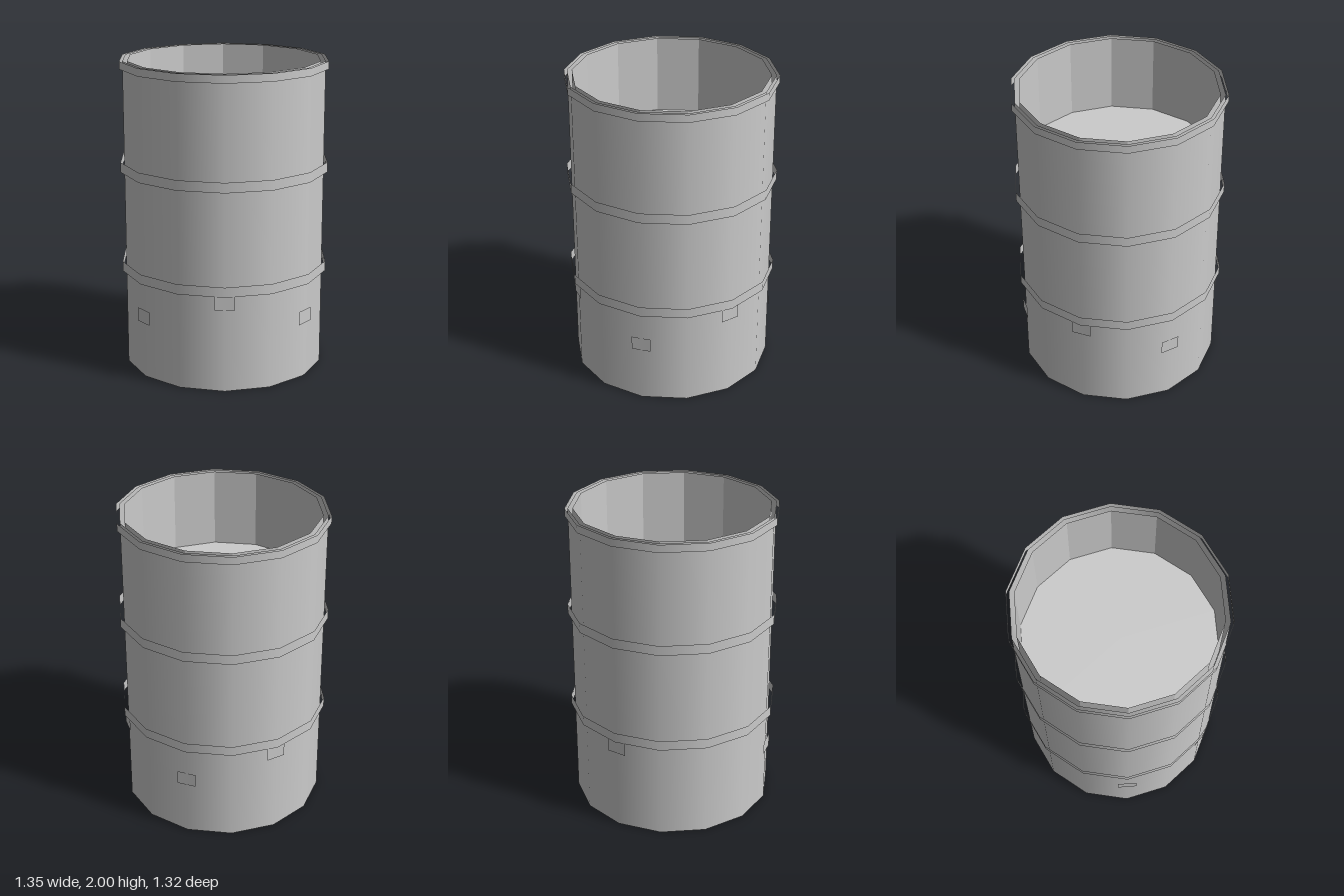
import * as THREE from 'three';

const SIDES = 14;
const STEP = (Math.PI * 2) / SIDES;

export function createModel() {
  const barrel = new THREE.Group();
  barrel.name = 'barrel';

  const smooth = new THREE.MeshStandardMaterial({ color: 0xcccccc, side: THREE.DoubleSide });
  const flat = new THREE.MeshStandardMaterial({ color: 0xcccccc, side: THREE.DoubleSide, flatShading: true });

  const add = (name, geometry, material = smooth) => {
    const mesh = new THREE.Mesh(geometry, material);
    mesh.name = name;
    barrel.add(mesh);
    return mesh;
  };

  // Open 14-sided sleeve from y0 to y1 with a corner on +x
  const sleeve = (radius, y0, y1) =>
    new THREE.CylinderGeometry(radius, radius, y1 - y0, SIDES, 1, true, Math.PI / 2)
      .translate(0, (y0 + y1) / 2, 0);

  // Walls
  add('outerWall', sleeve(0.65, 0, 2));
  add('innerWall', sleeve(0.62, 1.49, 2), flat);

  // Surface inside the barrel, below the rim
  add('innerSurface', new THREE.CircleGeometry(0.62, SIDES).rotateX(-Math.PI / 2).translate(0, 1.49, 0), flat);

  // Thin hoops standing off the wall
  add('lowerHoop', sleeve(0.675, 0.63, 0.695));
  add('middleHoop', sleeve(0.675, 1.29, 1.355));
  add('rimHoop', sleeve(0.67, 1.95, 2));

  // Small plates on the wall corners: three under the lower hoop, three lower down
  const plate = (name, corner, y) => {
    const geometry = new THREE.PlaneGeometry(0.125, 0.09)
      .translate(0, y, 0.656)
      .rotateY(Math.PI / 2 - corner * STEP);
    add(name, geometry, flat);
  };
  [0, 4, 10].forEach((corner) => plate('upperPlate', corner, 0.585));
  [2, 6, 12].forEach((corner) => plate('lowerPlate', corner, 0.41));

  return barrel;
}
